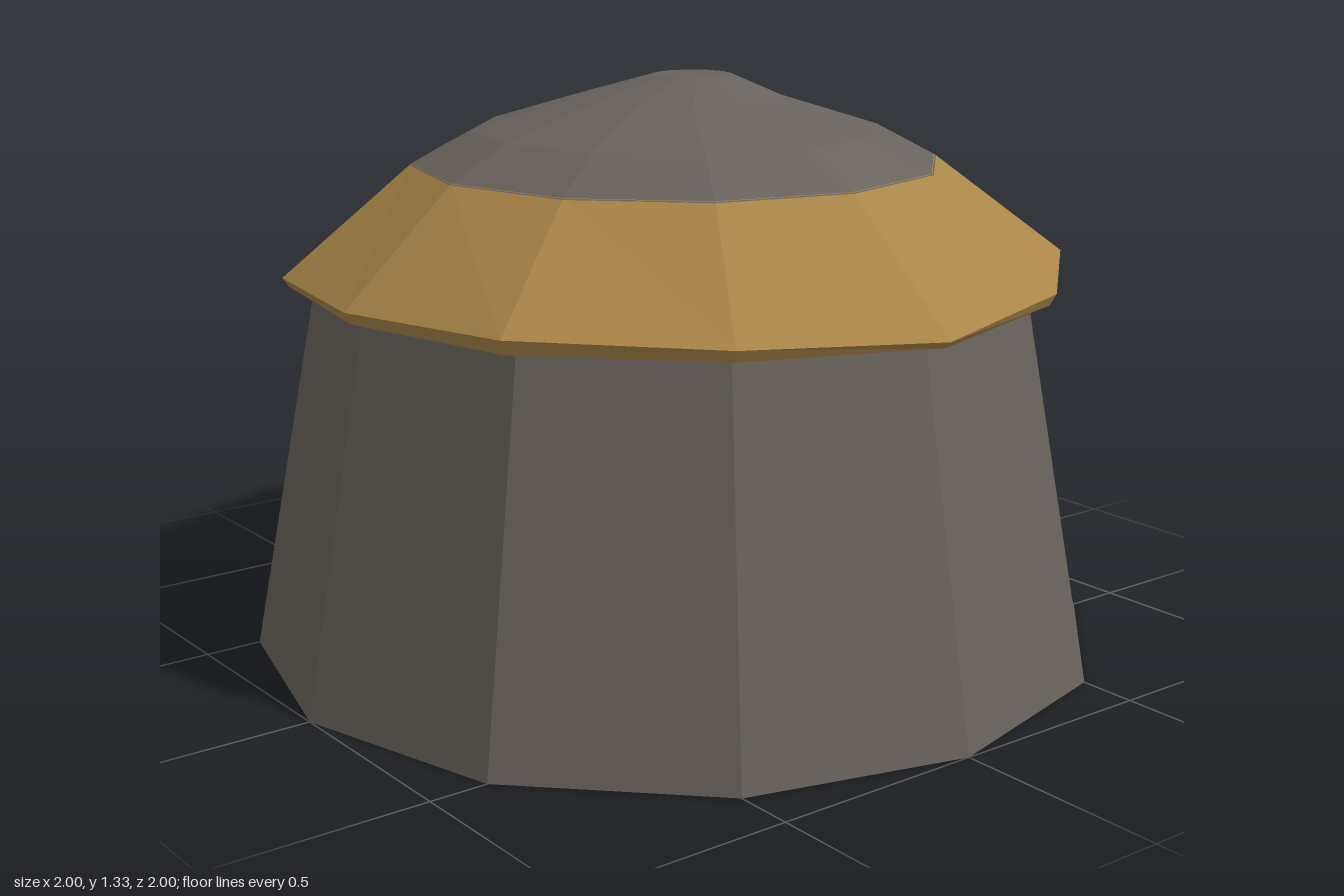
import * as THREE from 'three';

const SIDES = 12;
const stone = new THREE.MeshStandardMaterial({ color: 0x68625c, flatShading: true });
const thatch = new THREE.MeshStandardMaterial({ color: 0xa98548, flatShading: true });

// Point on the twelve-sided plan: corner i, radius r, height y, optional shift
const at = (i, r, y, dx = 0, dz = 0) => {
  const a = (i % SIDES) * Math.PI * 2 / SIDES;
  return [r * Math.cos(a) + dx, y, r * Math.sin(a) + dz];
};

// Ring of corners; r and y may be numbers or per-corner lists
const ring = (r, y, dx, dz) => Array.from({ length: SIDES }, (_, i) =>
  at(i, r[i] ?? r, y[i] ?? y, dx, dz));

// Flat-shaded mesh from polygons, each fanned from its first corner
function facets(name, material, polygons) {
  const pos = [];
  for (const p of polygons)
    for (let k = 1; k < p.length - 1; k++) pos.push(...p[0], ...p[k], ...p[k + 1]);
  const geo = new THREE.BufferGeometry();
  geo.setAttribute('position', new THREE.Float32BufferAttribute(pos, 3));
  geo.computeVertexNormals();
  const mesh = new THREE.Mesh(geo, material);
  mesh.name = name;
  return mesh;
}

// Quads joining successive rings, inside/bottom to top
function loft(rings) {
  const quads = [];
  for (let k = 0; k < rings.length - 1; k++)
    for (let i = 0; i < SIDES; i++) {
      const j = (i + 1) % SIDES, lo = rings[k], hi = rings[k + 1];
      quads.push([lo[i], hi[i], hi[j], lo[j]]);
    }
  return quads;
}

export function createModel() {
  const group = new THREE.Group();
  group.name = 'roundHut';

  // Tapered wall; side 0 holds the doorway, its neighbours follow the bent corners
  const b = ring(1, 0), t = ring(0.835, 0.875);
  const m0 = [0.835, 0.53, 0], m1 = [0.73, 0.455, 0.42];
  const d0 = [0.837, 0.455, 0], d1 = [0.739, 0.455, 0.385];
  const s0 = [0.944, 0.04, 0], s1 = [0.829, 0.04, 0.43];
  const walls = [];
  for (let i = 2; i < 11; i++) walls.push([b[i], t[i], t[i + 1], b[i + 1]]);
  walls.push([b[2], b[1], m1, t[1], t[2]]);
  walls.push([b[11], t[11], t[0], m0, b[0]]);
  walls.push([d0, m0, t[0], t[1], m1]);
  group.add(facets('wall', stone, walls));
  group.add(facets('floor', stone, [b]));

  // Recessed door with its jambs and sloping sill
  group.add(facets('doorJambs', stone, [[b[0], m0, d0, s0], [b[1], s1, d1, m1]]));
  group.add(facets('doorSill', stone, [[b[0], s0, s1, b[1]]]));
  group.add(facets('doorPanel', stone, [[s0, d0, d1, s1]]));

  // Uneven thatched eaves with a thin lip
  const eaveR = [0.9, 0.927, 0.9, 0.91, 0.89, 0.905, 0.88, 0.91, 0.87, 0.91, 0.925, 0.9];
  const eaveY = [0.9, 0.9, 0.89, 0.87, 0.89, 0.9, 0.89, 0.88, 0.88, 0.89, 0.9, 0.89];
  group.add(facets('roofEaves', thatch, loft([
    ring(0.82, 0.875),
    ring(eaveR.map(r => r - 0.015), eaveY.map(y => 0.855 + (y - 0.87) * 0.4)),
    ring(eaveR, eaveY),
    ring(0.61, 1.138),
  ])));

  // Domed roof cap with a small off-centre top
  const top = ring(0.09, 1.333, 0.035, 0.015);
  group.add(facets('roofCap', stone, [
    ...loft([
      ring(0.58, 1.135),
      ring(0.615, 1.135),
      ring(0.47, 1.212),
      ring(0.24, 1.282, 0.005, 0),
      top,
    ]),
    [...top].reverse(),
  ]));

  return group;
}
